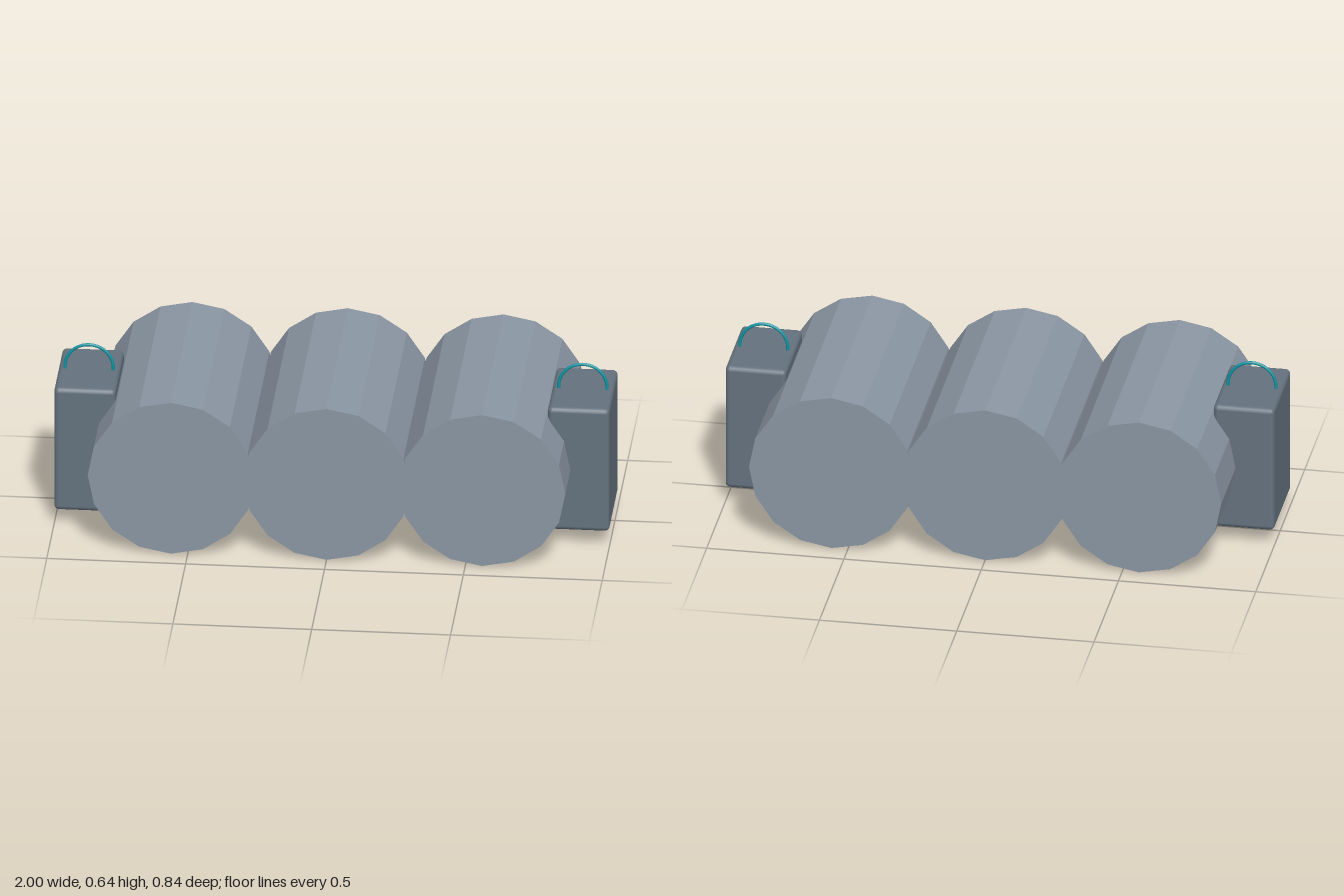
import * as THREE from 'three';
import { RoundedBoxGeometry } from 'three/addons/geometries/RoundedBoxGeometry.js';

export function createModel() {
  const model = new THREE.Group();
  model.name = 'tripleRollBlock';

  const material = (name, color, flatShading = false) => {
    const m = new THREE.MeshStandardMaterial({ color, flatShading });
    m.name = name;
    return m;
  };
  const rollGrey = material('rollGrey', 0x8a96a3, true);
  const boxGrey = material('boxGrey', 0x64727e);
  const handleTeal = material('handleTeal', 0x1193a0);

  const add = (parent, name, geometry, mat, x, y, z) => {
    const mesh = new THREE.Mesh(geometry, mat);
    mesh.name = name;
    mesh.position.set(x, y, z);
    parent.add(mesh);
    return mesh;
  };

  // Three sixteen-sided rolls lying front to back, overlapping slightly
  const rollGeometry = new THREE.CylinderGeometry(0.3, 0.3, 0.84, 16).rotateX(Math.PI / 2);
  ['rightRoll', 'middleRoll', 'leftRoll'].forEach((name, i) =>
    add(model, name, rollGeometry, rollGrey, (i - 1) * 0.56, 0.3, 0));

  // A side box with a bow handle at each end
  const boxGeometry = new RoundedBoxGeometry(0.222, 0.485, 0.35, 2, 0.018);
  const bowRadius = 0.087, wire = 0.006, bowY = 0.552;
  const bowGeometry = new THREE.TorusGeometry(bowRadius, wire, 8, 24, Math.PI);
  const legGeometry = new THREE.CylinderGeometry(wire, wire, 0.02, 8);
  for (const side of [-1, 1]) {
    const label = side > 0 ? 'left' : 'right';
    const unit = new THREE.Group();
    unit.name = label + 'SideUnit';
    unit.position.set(side * 0.889, 0, 0.048);
    add(unit, label + 'Box', boxGeometry, boxGrey, 0, 0.301, 0);
    add(unit, label + 'Handle', bowGeometry, handleTeal, 0, bowY, 0);
    for (const end of [-1, 1])
      add(unit, label + 'HandleFoot', legGeometry, handleTeal, end * bowRadius, bowY - 0.01, 0);
    model.add(unit);
  }
  return model;
}
